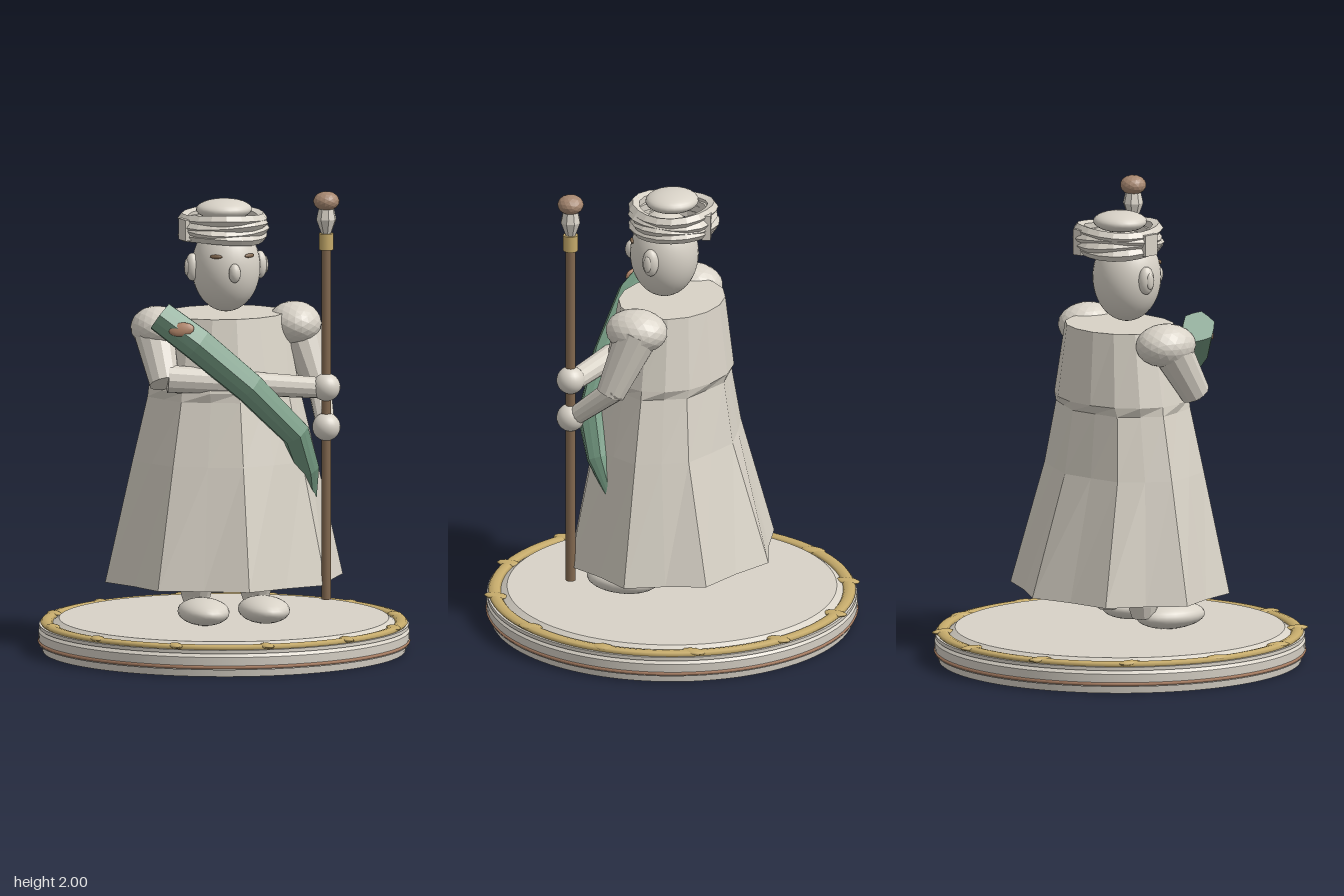
import * as THREE from 'three';

const flat = (g) => {
  const n = g.index ? g.toNonIndexed() : g;
  n.computeVertexNormals();
  return n;
};

// Closed skin over rings of equal point count (counter-clockwise seen along the path's reverse).
function skin(rings, capStart = true, capEnd = true) {
  const pos = [], n = rings[0].length;
  const tri = (...p) => p.forEach((v) => pos.push(v.x, v.y, v.z));
  const mid = (r) => r.reduce((s, v) => s.add(v), new THREE.Vector3()).divideScalar(n);
  const first = mid(rings[0]), last = mid(rings[rings.length - 1]);
  for (let j = 0; j < n; j++) {
    const k = (j + 1) % n;
    for (let i = 0; i < rings.length - 1; i++) {
      const [a, b] = [rings[i], rings[i + 1]];
      tri(a[j], a[k], b[k]);
      tri(a[j], b[k], b[j]);
    }
    if (capStart) tri(first, rings[0][k], rings[0][j]);
    if (capEnd) tri(last, rings[rings.length - 1][j], rings[rings.length - 1][k]);
  }
  const g = new THREE.BufferGeometry();
  g.setAttribute('position', new THREE.Float32BufferAttribute(pos, 3));
  g.computeVertexNormals();
  return g;
}

// Faceted limb through [x, y, z, radius] points; ridge deepens every other edge.
function loft(points, sides, ridge = 1) {
  const p = points.map((q) => new THREE.Vector3(q[0], q[1], q[2]));
  return skin(p.map((c, i) => {
    const t = p[Math.min(i + 1, p.length - 1)].clone().sub(p[Math.max(i - 1, 0)]).normalize();
    const u = new THREE.Vector3(0, 0, 1).addScaledVector(t, -t.z).normalize();
    const v = t.clone().cross(u);
    return Array.from({ length: sides }, (_, j) => {
      const a = (j / sides) * Math.PI * 2, r = points[i][3] * (j % 2 ? ridge : 1);
      return c.clone().addScaledVector(u, Math.cos(a) * r).addScaledVector(v, Math.sin(a) * r);
    });
  }));
}

export function createModel() {
  const model = new THREE.Group();
  const mat = (name, color) => Object.assign(new THREE.MeshStandardMaterial({ color }), { name });
  const cream = mat('cream', 0xd8d2c7);
  const gold = mat('gold', 0xc6ab6b);
  const copper = mat('copper', 0xb08468);
  const wood = mat('wood', 0x82684f);
  const knobBrown = mat('knob brown', 0xa5866f);
  const green = mat('green', 0x749a82);
  const cloth = mat('robe cream', 0xd8d2c6);
  cloth.side = THREE.DoubleSide;

  const add = (name, geo, material, x = 0, y = 0, z = 0) => {
    const m = new THREE.Mesh(geo, material);
    m.name = name;
    m.position.set(x, y, z);
    model.add(m);
    return m;
  };
  const ball = (name, material, c, r, w = 24, h = 16) => {
    const m = add(name, new THREE.SphereGeometry(1, w, h), material, ...c);
    m.scale.set(...r);
    return m;
  };
  const drum = (name, material, r0, r1, y0, y1, seg = 96, x = 0, z = 0) =>
    add(name, new THREE.CylinderGeometry(r1, r0, y1 - y0, seg), material, x, (y0 + y1) / 2, z);

  // Round base with trims
  drum('baseFoot', cream, 0.77, 0.775, 0, 0.035);
  drum('baseBand', cream, 0.785, 0.788, 0.03, 0.085);
  drum('baseGroove', cream, 0.788, 0.77, 0.085, 0.105);
  drum('baseRim', cream, 0.785, 0.785, 0.1, 0.115);
  drum('baseTop', cream, 0.735, 0.7, 0.115, 0.14);
  const stripe = add('copperStripe', new THREE.TorusGeometry(0.783, 0.008, 6, 96), copper, 0, 0.042, 0);
  stripe.rotation.x = Math.PI / 2;
  const ring = add('goldRing', new THREE.TorusGeometry(0.753, 0.027, 8, 96), gold, 0, 0.122, 0);
  ring.rotation.x = Math.PI / 2;
  ring.scale.z = 0.5;
  for (let i = 0; i < 12; i++) {
    const a = (i * Math.PI) / 6;
    ball('goldPetal', gold, [Math.sin(a) * 0.748, 0.127, Math.cos(a) * 0.752], [0.03, 0.012, 0.055], 10, 8);
  }

  // Feet and shins
  for (const s of [-1, 1]) {
    ball('foot', cream, [s * 0.132, 0.195, 0.17], [0.107, 0.057, 0.16]);
    add('shin', loft([[s * 0.13, 0.2, 0.035, 0.05], [s * 0.13, 0.25, 0.03, 0.065],
      [s * 0.13, 0.31, 0.045, 0.08], [s * 0.13, 0.5, 0.06, 0.08]], 12), cream);
  }

  // Pleated robe: [y, half width, front depth, back depth, pleat, back tuck]
  const robeRows = [
    [0.31, 0.52, 0.445, 0.445, 0.1], [0.83, 0.4, 0.34, 0.28, 0.06],
    [1.1, 0.335, 0.285, 0.24, 0.07], [1.14, 0.33, 0.28, 0.255, 0.01], [1.45, 0.265, 0.22, 0.22, 0],
  ];
  const robeRings = robeRows.map(([y, w, f, b, pleat]) => Array.from({ length: 16 }, (_, j) => {
    const a = (j / 16) * Math.PI * 2, k = j % 2 ? 1 - pleat : 1;
    const c = Math.cos(a);
    return new THREE.Vector3(Math.sin(a) * w * k, y, c * (c > 0 ? f : b) * k);
  }));
  add('robe', skin(robeRings, false, true), cloth);

  // Shoulders, sleeves, forearms and hands
  for (const s of [-1, 1]) {
    const g = flat(new THREE.IcosahedronGeometry(1, 3));
    add('shoulder', g, cream, s * 0.3, 1.4, 0.035).scale.set(0.113, 0.092, 0.135);
  }
  add('leftSleeve', loft([[0.32, 1.4, 0.02, 0.095], [0.385, 1.13, 0.12, 0.062]], 12), cream);
  add('leftForearm', loft([[0.39, 1.16, 0.09, 0.052], [0.37, 0.99, 0.3, 0.04]], 12), cream);
  add('rightSleeve', loft([[-0.32, 1.4, 0.04, 0.09], [-0.305, 1.18, 0.18, 0.065]], 12), cream);
  add('rightForearm', loft([[-0.29, 1.2, 0.18, 0.06], [0.36, 1.155, 0.3, 0.045]], 12), cream);
  ball('leftHand', cream, [0.37, 0.99, 0.31], [0.06, 0.06, 0.06]);
  ball('rightHand', cream, [0.37, 1.16, 0.31], [0.06, 0.06, 0.06]);

  // Staff
  drum('staffPole', wood, 0.021, 0.021, 0.25, 1.77, 12, 0.37, 0.31);
  drum('staffCollar', gold, 0.032, 0.032, 1.75, 1.82, 12, 0.37, 0.31);
  add('staffCup', loft([[0.37, 1.82, 0.31, 0.022], [0.37, 1.88, 0.31, 0.044], [0.37, 1.925, 0.31, 0.034]], 8), cream);
  const knob = add('staffKnob', flat(new THREE.IcosahedronGeometry(1, 2)), knobBrown, 0.37, 1.958, 0.31);
  knob.scale.set(0.056, 0.042, 0.056);

  // Green bundle held across the chest
  add('bundle', loft([[-0.325, 1.47, 0.185, 0.073], [-0.18, 1.355, 0.255, 0.078], [0.04, 1.165, 0.275, 0.073],
    [0.245, 0.96, 0.265, 0.066], [0.31, 0.8, 0.205, 0.055], [0.36, 0.62, 0.12, 0.012]], 12, 0.9), green);
  const patch = ball('bundlePatch', copper, [-0.257, 1.425, 0.283], [0.055, 0.03, 0.014], 12, 8);
  patch.rotation.set(-0.35, -0.35, 0);

  // Head and face
  ball('head', cream, [0, 1.65, 0.035], [0.146, 0.19, 0.146], 32, 24);
  ball('nose', cream, [0, 1.643, 0.187], [0.026, 0.041, 0.028], 12, 10);
  for (const s of [-1, 1]) {
    ball('ear', cream, [s * 0.148, 1.655, 0.036], [0.03, 0.06, 0.036], 16, 12);
    ball('earInner', cream, [s * 0.174, 1.655, 0.04], [0.009, 0.036, 0.018], 12, 8);
    const eye = ball('eye', wood, [s * 0.073, 1.712, 0.153], [0.028, 0.009, 0.008], 12, 8);
    eye.rotation.y = s * 0.5;
  }

  // Wound headwrap: wavering coils, a crown and a jewel
  for (let i = 0; i < 4; i++) {
    const g = new THREE.TorusGeometry(0.166, 0.025, 5, 18);
    const p = g.attributes.position;
    for (let v = 0; v < p.count; v++) {
      const a = Math.atan2(p.getY(v), p.getX(v));
      const k = 1 + 0.035 * Math.sin(3 * a + i * 2.1);
      p.setXYZ(v, p.getX(v) * k, p.getY(v) * k, p.getZ(v) + 0.007 * Math.sin(2 * a + i * 1.7));
    }
    const coil = add('wrapCoil', flat(g), cream, 0, 1.782 + i * 0.025, -0.008);
    coil.rotation.x = -Math.PI / 2;
  }
  add('wrapKnot', new THREE.BoxGeometry(0.045, 0.11, 0.035), cream, 0.04, 1.815, -0.178).rotation.y = 0.3;
  add('wrapEnd', new THREE.BoxGeometry(0.03, 0.09, 0.07), cream, -0.178, 1.815, 0.03).rotation.y = 0.2;
  ball('wrapCrown', cream, [0, 1.893, 0], [0.12, 0.044, 0.112]);
  ball('jewel', gold, [0, 1.862, 0.16], [0.026, 0.022, 0.016], 12, 8);

  return model;
}
